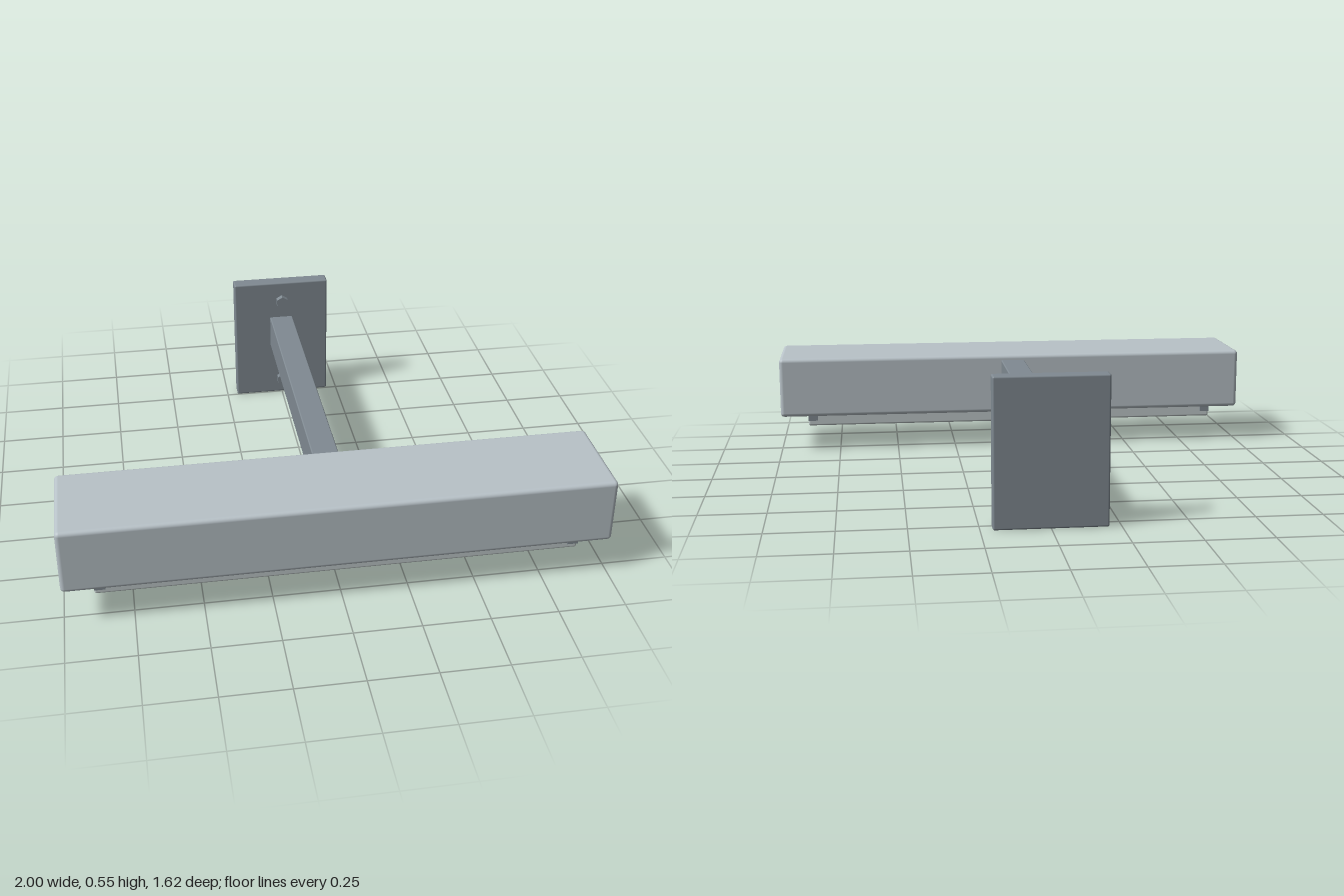
import * as THREE from 'three';
import { RoundedBoxGeometry } from 'three/addons/geometries/RoundedBoxGeometry.js';

const material = (name, color) => {
  const m = new THREE.MeshStandardMaterial({ color });
  m.name = name;
  return m;
};

export function createModel() {
  const model = new THREE.Group();
  model.name = 'wallLamp';
  const paleGrey = material('paleGrey', 0xb8c2c8);
  const darkGrey = material('darkGrey', 0x808a92);
  const lensGrey = material('lensGrey', 0xc0c9ca);

  const add = (name, geometry, mat, x, y, z) => {
    const mesh = new THREE.Mesh(geometry, mat);
    mesh.name = name;
    mesh.position.set(x, y, z);
    model.add(mesh);
  };
  // Softened box given by its [min, max] extents
  const block = (name, mat, [x0, x1], [y0, y1], [z0, z1], radius) =>
    add(name, new RoundedBoxGeometry(x1 - x0, y1 - y0, z1 - z0, 3, radius), mat,
      (x0 + x1) / 2, (y0 + y1) / 2, (z0 + z1) / 2);

  // Lamp body with the diffuser below it
  block('housing', paleGrey, [-1, 1], [0.15, 0.402], [0.432, 0.81], 0.016);
  block('diffuser', lensGrey, [-0.885, 0.885], [0.1, 0.155], [0.48, 0.765], 0.008);

  // Clips wrapping the front and back edges of the diffuser at both ends
  for (const side of [-1, 1]) {
    for (const z of [0.478, 0.767]) {
      add('diffuserClip', new THREE.BoxGeometry(0.04, 0.028, 0.016), darkGrey, side * 0.865, 0.138, z);
    }
  }

  // Wall bracket
  block('arm', darkGrey, [-0.05, 0.05], [0.24, 0.38], [-0.755, 0.44], 0.005);
  block('wallPlate', darkGrey, [-0.206, 0.206], [0, 0.545], [-0.81, -0.75], 0.007);

  // Hexagonal bolt heads standing just off the wall plate
  const bolt = new THREE.CylinderGeometry(0.027, 0.027, 0.025, 6).toNonIndexed();
  bolt.rotateX(Math.PI / 2);
  bolt.computeVertexNormals();
  for (const y of [0.468, 0.083]) add('bolt', bolt, darkGrey, 0, y, -0.718);

  return model;
}
